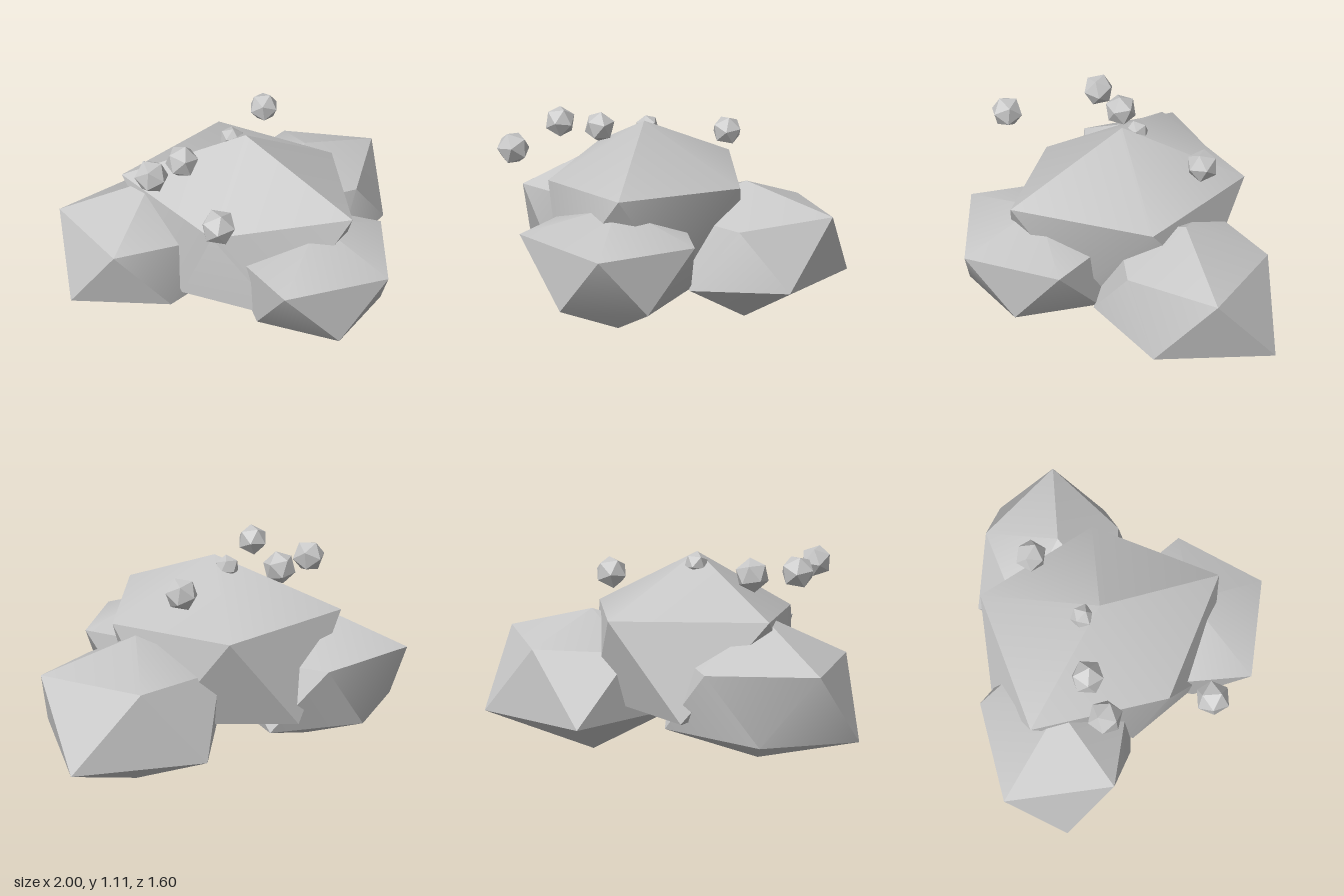
import * as THREE from 'three';
import { toCreasedNormals } from 'three/addons/utils/BufferGeometryUtils.js';

// Irregular twenty-sided boulder: apex, five-point upper ring, five-point lower ring, base point.
// Rings run from +x towards +z, and the lower points sit between the upper ones.
function boulderGeometry(apex, upper, lower, base) {
  const positions = [];
  const face = (...corners) => corners.forEach((c) => positions.push(...c));
  for (let i = 0; i < 5; i++) {
    const j = (i + 1) % 5;
    face(apex, upper[j], upper[i]);
    face(upper[i], upper[j], lower[i]);
    face(lower[i], upper[j], lower[j]);
    face(base, lower[i], lower[j]);
  }
  const geometry = new THREE.BufferGeometry();
  geometry.setAttribute('position', new THREE.Float32BufferAttribute(positions, 3));
  // Shallow edges blend, sharp ones stay crisp
  return toCreasedNormals(geometry, THREE.MathUtils.degToRad(35));
}

export function createModel() {
  const group = new THREE.Group();
  group.name = 'rockCluster';
  const stone = new THREE.MeshStandardMaterial({ color: 0xc6c6c6 });
  stone.name = 'light grey stone';

  const add = (name, geometry) => {
    const mesh = new THREE.Mesh(geometry, stone);
    mesh.name = name;
    group.add(mesh);
    return mesh;
  };

  // Large central boulder
  add('centreBoulder', boulderGeometry(
    [-0.03, 1.1, -0.11],
    [[0.55, 0.8, -0.11], [0.19, 0.84, 0.54], [-0.45, 0.785, 0.21], [-0.57, 0.84, -0.51], [0.19, 0.83, -0.73]],
    [[0.34, 0.37, 0.24], [-0.2, 0.34, 0.48], [-0.53, 0.36, 0.02], [-0.2, 0.35, -0.74], [0.42, 0.35, -0.45]],
    [-0.01, 0.13, -0.1]));

  // Three boulders leaning against it
  add('frontBoulder', boulderGeometry(
    [0.09, 0.77, 0.38],
    [[0.53, 0.61, 0.37], [0.23, 0.61, 0.8], [-0.32, 0.63, 0.67], [-0.32, 0.63, 0.1], [0.23, 0.61, -0.04]],
    [[0.38, 0.29, 0.58], [-0.03, 0.29, 0.75], [-0.29, 0.29, 0.38], [-0.02, 0.28, -0.03], [0.39, 0.29, 0.13]],
    [0.09, 0.09, 0.38]));
  add('leftBoulder', boulderGeometry(
    [0.5, 0.79, -0.3],
    [[1, 0.66, -0.3], [0.62, 0.61, 0.04], [0.15, 0.63, -0.03], [0.15, 0.63, -0.55], [0.64, 0.64, -0.7]],
    [[0.89, 0.3, -0.02], [0.4, 0.285, 0.16], [0.03, 0.28, -0.3], [0.34, 0.27, -0.8], [0.98, 0.26, -0.64]],
    [0.51, 0, -0.3]));
  add('rightBoulder', boulderGeometry(
    [-0.47, 0.85, -0.36],
    [[0, 0.62, -0.36], [-0.32, 0.63, 0.02], [-0.85, 0.63, -0.11], [-0.88, 0.64, -0.68], [-0.34, 0.62, -0.78]],
    [[-0.08, 0.29, -0.12], [-0.59, 0.29, 0], [-1, 0.25, -0.38], [-0.6, 0.27, -0.72], [-0.08, 0.29, -0.66]],
    [-0.47, 0.1, -0.37]));

  // Small pebbles floating around the top: x, y, z, radius, turn
  [
    [-0.59, 1.03, -0.13, 0.09, 0.3],
    [-0.37, 1.01, -0.2, 0.09, 1.1],
    [0.31, 1.02, -0.44, 0.085, 0.6],
    [-0.06, 1.05, -0.2, 0.065, 1.7],
    [-0.53, 1.0, 0.41, 0.09, 2.2],
  ].forEach(([x, y, z, radius, turn], i) => {
    const pebble = add(`pebble${i + 1}`, new THREE.IcosahedronGeometry(radius, 0));
    pebble.position.set(x, y, z);
    pebble.rotation.set(0.55, turn, 0.1 * i);
  });

  return group;
}
